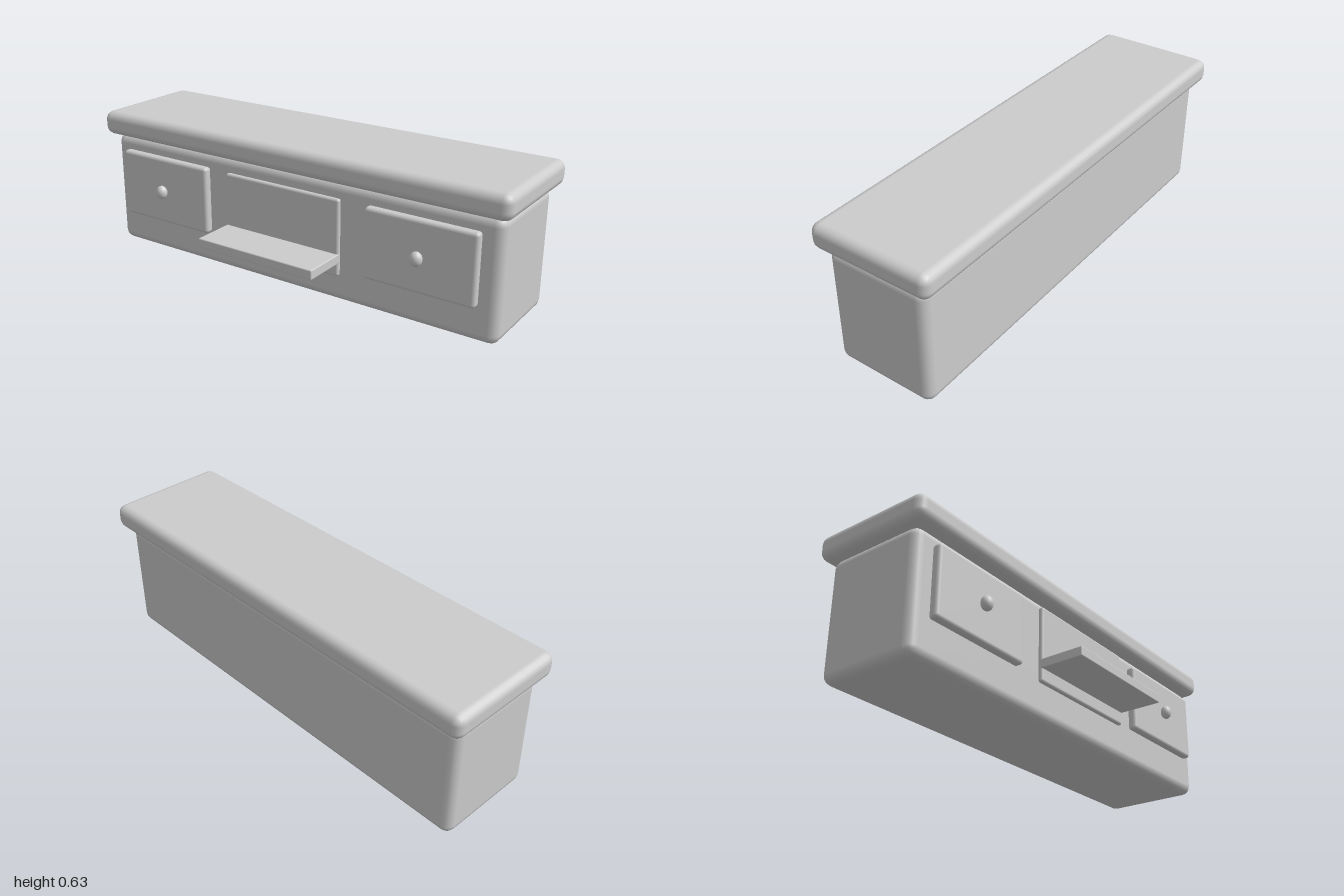
import * as THREE from 'three';
import { RoundedBoxGeometry } from 'three/addons/geometries/RoundedBoxGeometry.js';

export function createModel() {
  const group = new THREE.Group();
  group.name = 'consoleTable';
  const grey = new THREE.MeshStandardMaterial({ name: 'plain grey', color: 0xcccccc });

  // Rounded block given by its extents on each axis
  function block(name, [x0, x1], [y0, y1], [z0, z1], radius) {
    const geometry = new RoundedBoxGeometry(x1 - x0, y1 - y0, z1 - z0, 2, radius);
    const mesh = new THREE.Mesh(geometry, grey);
    mesh.name = name;
    mesh.position.set((x0 + x1) / 2, (y0 + y1) / 2, (z0 + z1) / 2);
    group.add(mesh);
  }

  // Cabinet and overhanging top
  block('cabinetBody', [-0.965, 0.965], [0.002, 0.521], [-0.317, 0.132], 0.04);
  block('tableTop', [-1, 1], [0.522, 0.629], [-0.363, 0.177], 0.037);

  // Central panel with its projecting shelf
  block('centrePanel', [-0.286, 0.286], [0.134, 0.467], [0.151, 0.175], 0.011);
  block('shelf', [-0.286, 0.286], [0.191, 0.233], [0.155, 0.363], 0.005);

  // Matching drawer fronts and oval knobs
  for (const [side, label] of [[1, 'left'], [-1, 'right']]) {
    const edges = [side * 0.4, side * 0.886].sort((a, b) => a - b);
    block(label + 'DrawerFront', edges, [0.159, 0.463], [0.132, 0.174], 0.015);
    const knob = new THREE.Mesh(new THREE.SphereGeometry(1, 24, 16), grey);
    knob.name = label + 'Knob';
    knob.scale.set(0.026, 0.031, 0.024);
    knob.position.set(side * 0.645, 0.311, 0.192);
    group.add(knob);
  }

  return group;
}
